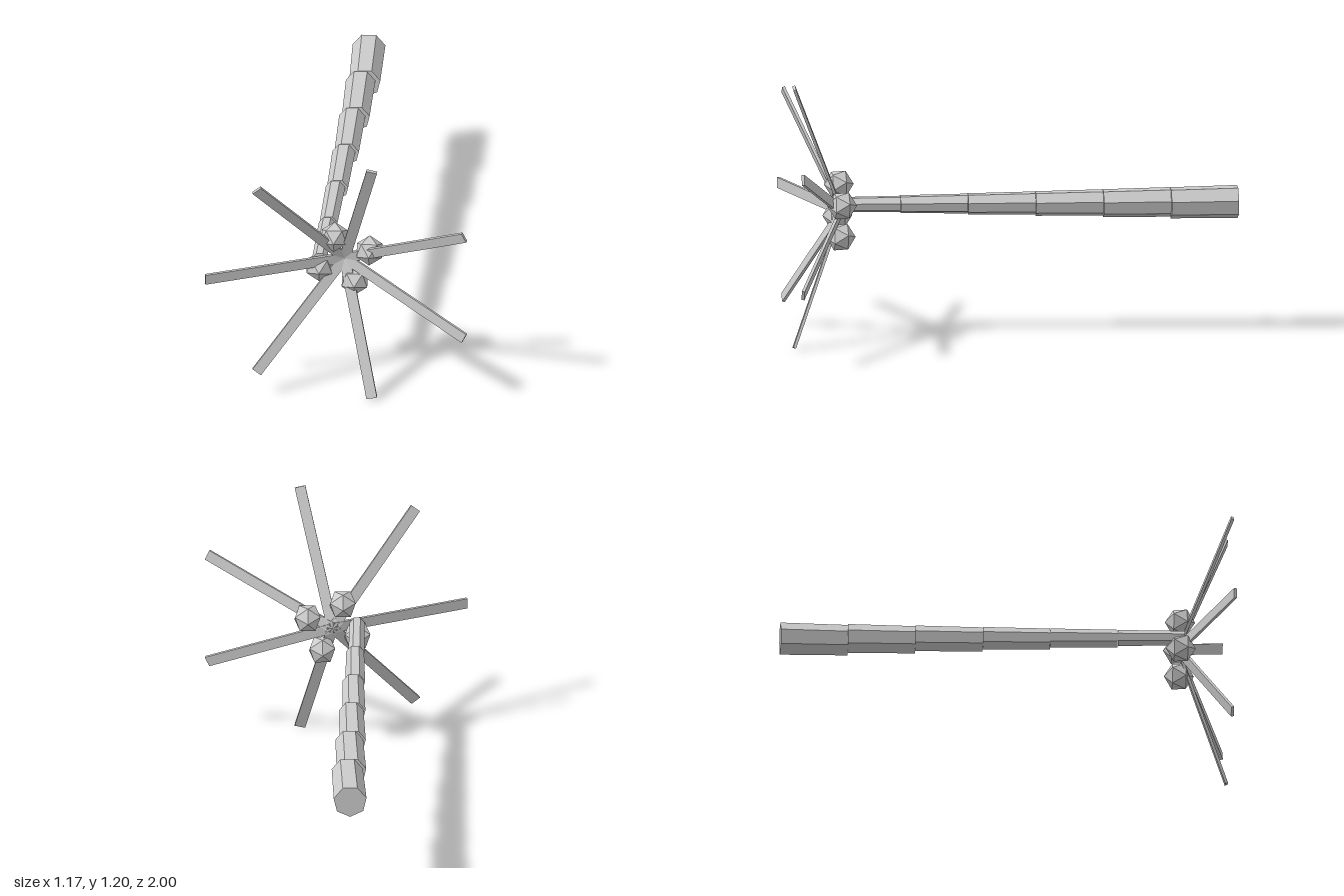
import * as THREE from 'three';

export function createModel() {
  const model = new THREE.Group();
  const grey = new THREE.MeshStandardMaterial({ color: 0xcccccc, flatShading: true });
  const add = (parent, geometry, name) => {
    const mesh = new THREE.Mesh(geometry, grey);
    mesh.name = name;
    parent.add(mesh);
    return mesh;
  };

  // Stalk: six stepped seven-sided segments, thinning and bending to the right
  const stalk = new THREE.Group();
  stalk.name = 'stalk';
  for (let i = 0; i < 6; i++) {
    const r = 0.075 - 0.0075 * i;
    const geometry = new THREE.CylinderGeometry(r - 0.004, r, 0.3, 7).rotateX(Math.PI / 2);
    const segment = add(stalk, geometry, 'stalkSegment');
    segment.position.set(0.021 - 0.02 * i, 0.609, -0.85 + 0.3 * i);
    segment.rotation.y = -0.01 * i;
  }
  model.add(stalk);

  // Flower head: spokes and beads share one centre
  const head = new THREE.Group();
  head.name = 'flowerHead';
  head.position.set(0.024, 0.6055, 0.772);
  model.add(head);

  // Seven flat spokes, leaning forward
  const lean = 0.354, length = 0.648;
  for (let i = 0; i < 7; i++) {
    const geometry = new THREE.BoxGeometry(length, 0.048, 0.013)
      .translate(length / 2, 0, 0)
      .rotateY(-lean);
    add(head, geometry, 'spoke').rotation.z = Math.PI + (i * Math.PI * 2) / 7;
  }

  // Four faceted beads around the centre
  for (let i = 0; i < 4; i++) {
    const a = 0.39 + (i * Math.PI) / 2;
    const bead = add(head, new THREE.IcosahedronGeometry(0.067).rotateX(0.55), 'bead');
    bead.position.set(0.12 * Math.cos(a), 0.12 * Math.sin(a), 0.008);
  }

  return model;
}
